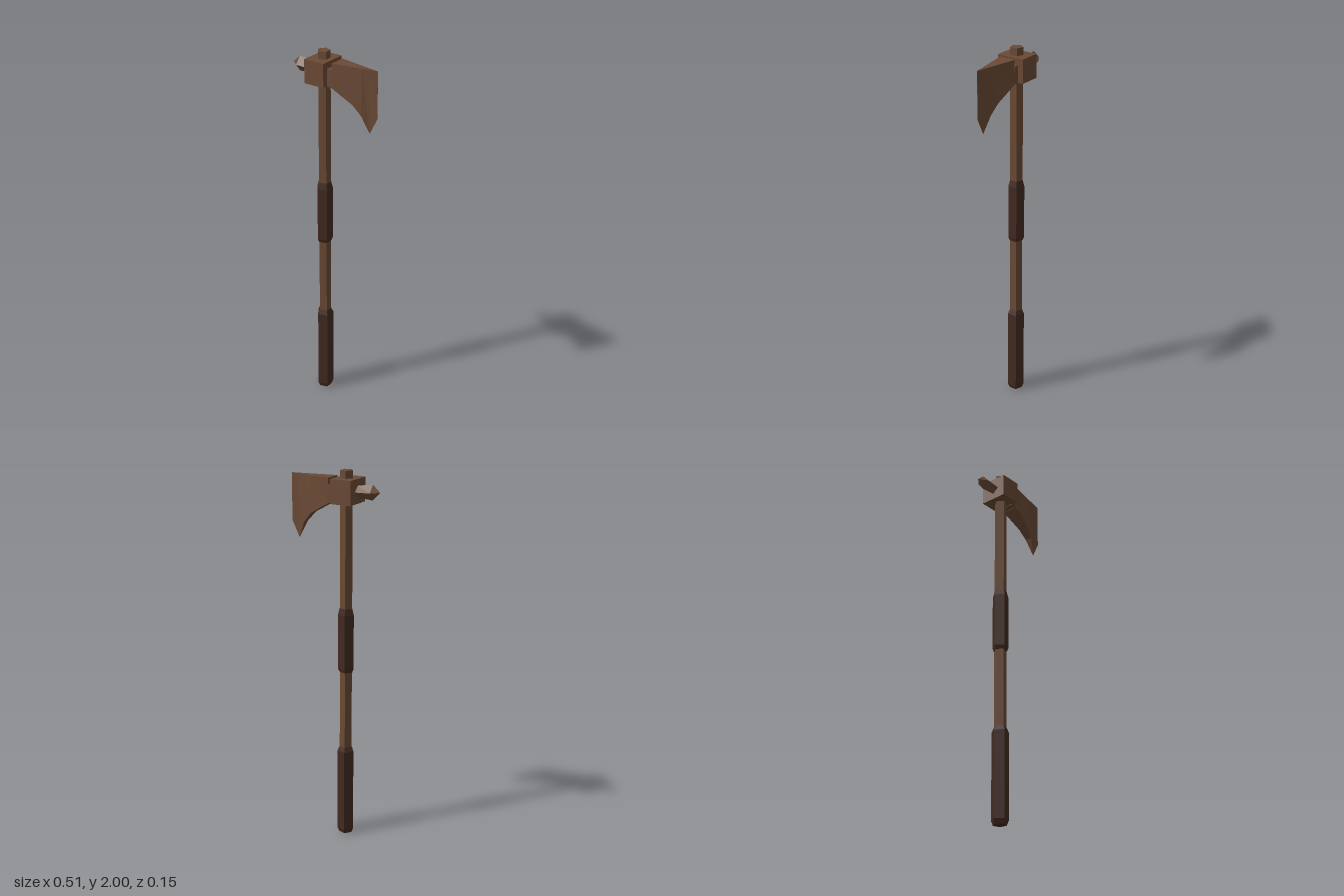
import * as THREE from 'three';

const HANDLE_X = -0.0715;

export function createModel() {
  const wood = new THREE.MeshStandardMaterial({ color: 0x6b4a35, flatShading: true });
  wood.name = 'brown';
  const wrap = new THREE.MeshStandardMaterial({ color: 0x432a21, flatShading: true });
  wrap.name = 'dark brown';

  const group = new THREE.Group();
  group.name = 'axe';
  const add = (name, geometry, material, x = 0, y = 0, z = 0) => {
    const mesh = new THREE.Mesh(geometry, material);
    mesh.name = name;
    mesh.position.set(x, y, z);
    group.add(mesh);
    return mesh;
  };

  // Five-sided turned parts, one corner pointing to -x
  const turned = (name, profile, material) => add(
    name,
    new THREE.LatheGeometry(profile.map(([r, y]) => new THREE.Vector2(r, y)), 5, -Math.PI / 2),
    material, HANDLE_X);
  turned('handle', [[0, 0.01], [0.034, 0.01], [0.034, 2], [0, 2]], wood);
  turned('lowerGrip', [[0, 0], [0.036, 0], [0.046, 0.025], [0.046, 0.485], [0.035, 0.51], [0, 0.51]], wrap);
  turned('upperGrip', [[0, 0.935], [0.036, 0.935], [0.044, 0.955], [0.044, 1.25], [0.035, 1.285], [0, 1.285]], wrap);

  // Head block and the neck that carries the blade
  add('headBlock', new THREE.BoxGeometry(0.117, 0.125, 0.152), wood, -0.0765, 1.898, 0);
  add('bladeNeck', new THREE.BoxGeometry(0.04, 0.093, 0.09), wood, -0.008, 1.88, 0);

  // Loft quads between matching closed rings, then cap both ends
  const loft = (rings) => {
    const pos = [];
    const tri = (...pts) => pts.forEach((p) => pos.push(...p));
    for (let i = 0; i < rings.length - 1; i++) {
      const a = rings[i], b = rings[i + 1];
      for (let j = 0; j < 4; j++) {
        const k = (j + 1) % 4;
        tri(a[j], a[k], b[k]);
        tri(a[j], b[k], b[j]);
      }
    }
    const s = rings[0], e = rings[rings.length - 1];
    tri(s[0], s[2], s[1]); tri(s[0], s[3], s[2]);
    tri(e[0], e[1], e[2]); tri(e[0], e[2], e[3]);
    const g = new THREE.BufferGeometry();
    g.setAttribute('position', new THREE.Float32BufferAttribute(pos, 3));
    g.computeVertexNormals();
    return g;
  };

  // Blade sections: x, top y, bottom y, half thickness at top and bottom
  const blade = [
    [0.01, 1.96, 1.832, 0.045, 0.045],
    [0.125, 1.96, 1.766, 0.0235, 0.03],
    [0.17, 1.96, 1.715, 0.015, 0.019],
    [0.21, 1.96, 1.627, 0.008, 0.001],
    [0.253, 1.96, 1.712, 0.0005, 0.0005],
  ].map(([x, t, b, zt, zb]) => [[x, t, zt], [x, b, zb], [x, b, -zb], [x, t, -zt]]);
  add('blade', loft(blade), wood);

  // Back spike: diamond section swelling slightly, then a point
  const spike = [
    [-0.26, 1.902, 0.0005, 0.0005],
    [-0.22, 1.9, 0.04, 0.033],
    [-0.13, 1.897, 0.029, 0.033],
  ].map(([x, y, h, w]) => [[x, y + h, 0], [x, y, w], [x, y - h, 0], [x, y, -w]]);
  add('backSpike', loft(spike), wood);

  return group;
}
